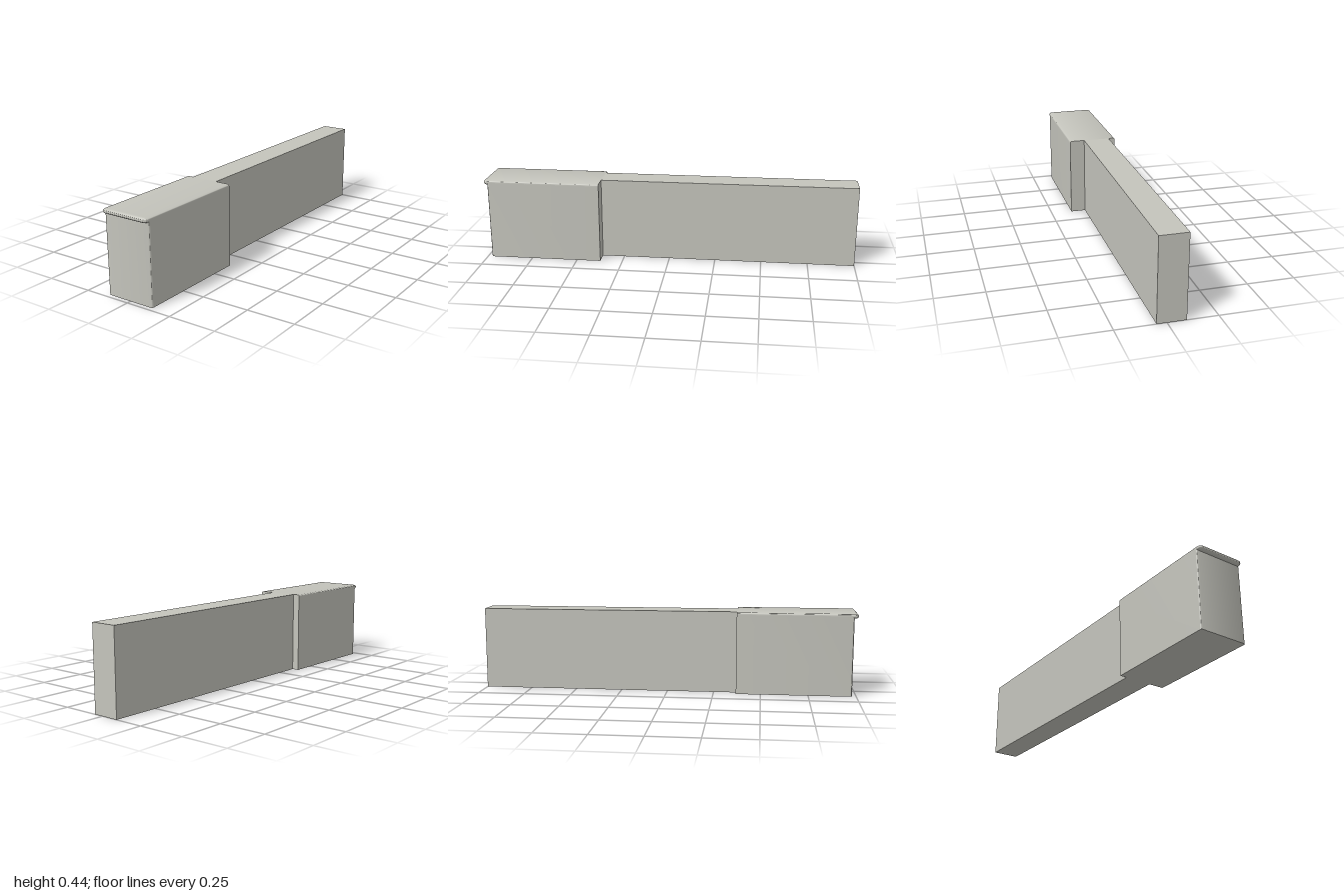
import * as THREE from 'three';
import { toCreasedNormals } from 'three/addons/utils/BufferGeometryUtils.js';

const HALF_W = 0.1325;   // half width of the head
const SHOULDER = 0.37;   // z where the head meets the stem
const HEIGHT = 0.435;
const R = 0.0115;        // radius of the rounded lip

// Plan outline in (x, -z) with a square back and rounded front corners
function plan(halfW, front, radius) {
  const s = new THREE.Shape();
  s.moveTo(halfW, -SHOULDER);
  s.lineTo(-halfW, -SHOULDER);
  s.lineTo(-halfW, -front + radius);
  s.absarc(-halfW + radius, -front + radius, radius, Math.PI, Math.PI * 1.5, false);
  s.lineTo(halfW - radius, -front);
  s.absarc(halfW - radius, -front + radius, radius, Math.PI * 1.5, Math.PI * 2, false);
  s.closePath();
  return s;
}

export function createModel() {
  const group = new THREE.Group();
  const ivory = new THREE.MeshStandardMaterial({ color: 0xc4c4bc });
  ivory.name = 'warm ivory';

  const add = (name, geometry) => {
    const mesh = new THREE.Mesh(geometry, ivory);
    mesh.name = name;
    group.add(mesh);
  };

  // Narrow rear stem, set slightly off centre
  const stem = new THREE.BoxGeometry(0.145, HEIGHT, SHOULDER + 1);
  stem.translate(-0.0225, HEIGHT / 2, (SHOULDER - 1) / 2);
  add('stem', stem);

  // Wide front block with softened front corners
  const body = new THREE.ExtrudeGeometry(plan(HALF_W, 0.978, 0.01), {
    depth: HEIGHT - R, bevelEnabled: false, curveSegments: 6,
  });
  body.rotateX(-Math.PI / 2);
  add('headBlock', toCreasedNormals(body, 0.6));

  // Rounded top slab overhanging the front, cut flat at the shoulder
  const lip = new THREE.ExtrudeGeometry(plan(HALF_W - R, 1 - R, 0.01), {
    depth: 0.0005, bevelEnabled: true, bevelSize: R, bevelThickness: R - 0.00025,
    bevelSegments: 8, curveSegments: 8,
  });
  lip.rotateX(-Math.PI / 2);
  lip.translate(0, HEIGHT - R - 0.00025, 0);
  const p = lip.attributes.position;
  for (let i = 0; i < p.count; i++) p.setZ(i, Math.max(p.getZ(i), SHOULDER));
  add('topLip', toCreasedNormals(lip, 0.6));

  return group;
}
